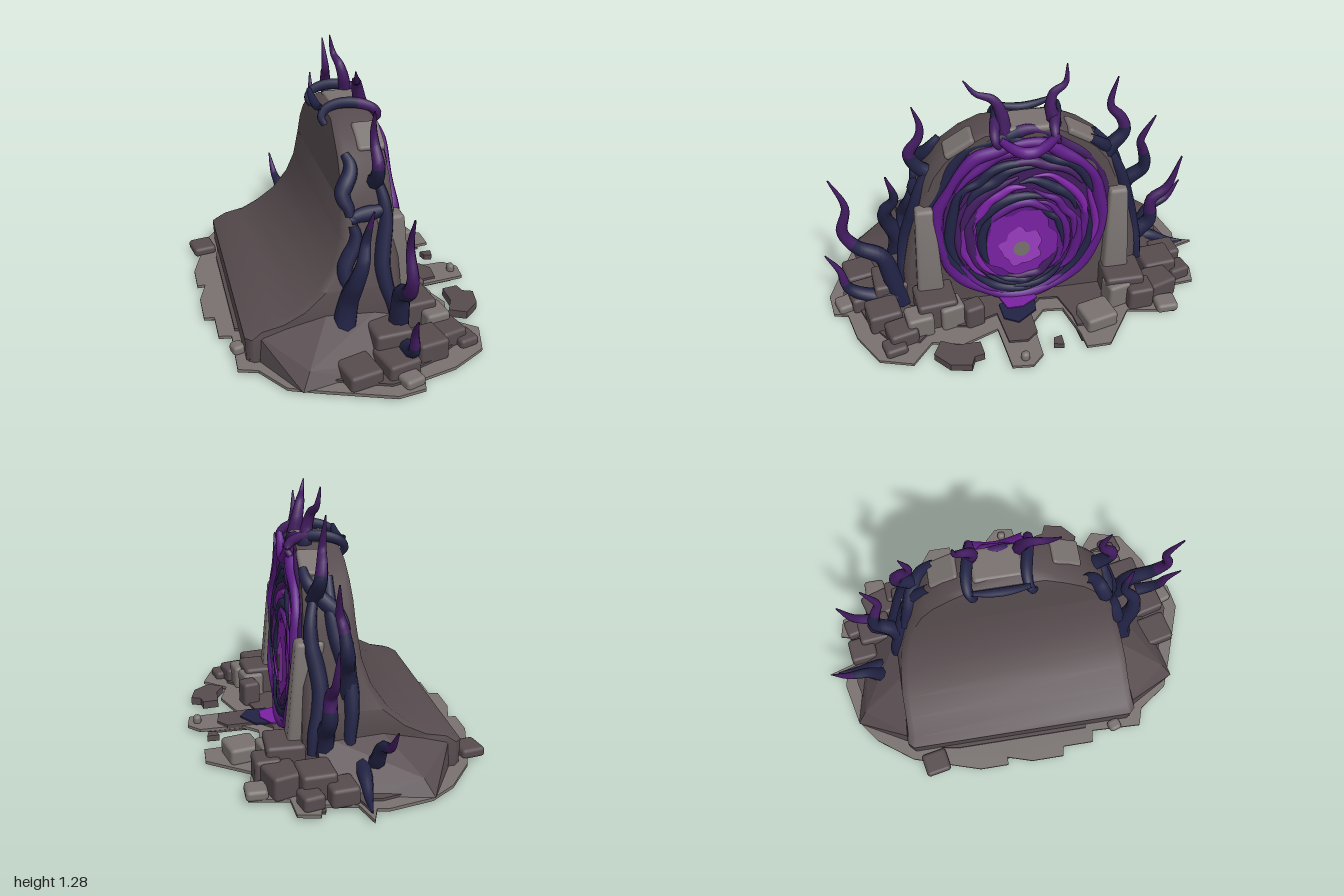
import * as THREE from 'three';
import { toCreasedNormals } from 'three/addons/utils/BufferGeometryUtils.js';
import { RoundedBoxGeometry } from 'three/addons/geometries/RoundedBoxGeometry.js';
import { ConvexGeometry } from 'three/addons/geometries/ConvexGeometry.js';

const material = (name, color, side = THREE.FrontSide) => {
  const m = new THREE.MeshStandardMaterial({ color, side });
  m.name = name;
  return m;
};

export function createModel() {
  const stone = material('dark stone', 0x564b4e);
  const pale = material('pale stone', 0x78716f);
  const navy = material('navy vine', 0x222345, THREE.DoubleSide);
  const plum = material('plum vine', 0x421c60, THREE.DoubleSide);
  const violet = material('violet', 0x5c1a84);
  const bright = material('bright violet', 0x7a22a2);
  const glow = material('glow', 0x9a3cc0);
  const V = (x, y, z) => new THREE.Vector3(x, y, z);
  const lerp = THREE.MathUtils.lerp;
  const steps = (n, f) => Array.from({ length: n }, (_, i) => f(i / (n - 1), i));

  const model = new THREE.Group();
  model.name = 'stonePortal';
  const add = (name, geo, mat, parent = model) => {
    const mesh = new THREE.Mesh(geo, mat);
    mesh.name = name;
    parent.add(mesh);
  };
  const group = (name) => {
    const g = new THREE.Group();
    g.name = name;
    model.add(g);
    return g;
  };
  let seed = 7;
  const rand = () => (seed = (seed * 16807) % 2147483647) / 2147483647;

  // Flat slab from an outline in x,z
  const slab = (name, pts, top, depth, mat) => {
    const geo = new THREE.ExtrudeGeometry(
      new THREE.Shape(pts.map(([x, z]) => new THREE.Vector2(x, z))), { depth, bevelEnabled: false });
    add(name, geo.rotateX(Math.PI / 2).translate(0, top, 0), mat);
  };

  // Tube whose radius follows a profile; the second material starts at split
  const vine = (name, pts, radius, mats, split, parent, profile, closed = false) => {
    const curve = new THREE.CatmullRomCurve3(pts, closed);
    const n = pts.length * 5, sides = 8;
    const geo = new THREE.TubeGeometry(curve, n, 1, sides, closed);
    const p = geo.attributes.position, v = V();
    for (let j = 0; j <= n; j++) {
      const c = curve.getPointAt(j / n);
      const r = radius * profile(j / n);
      for (let i = 0; i <= sides; i++) {
        const k = j * (sides + 1) + i;
        v.fromBufferAttribute(p, k).sub(c).multiplyScalar(r).add(c);
        p.setXYZ(k, v.x, v.y, v.z);
      }
    }
    const cut = Math.round(n * split) * sides * 6;
    geo.addGroup(0, cut, 0);
    geo.addGroup(cut, n * sides * 6 - cut, 1);
    add(name, geo, mats, parent);
  };

  // Ragged ground plate and the darker earth on it
  const outline = [
    [-.33, -.87], [-.12, -.92], [-.07, -.91], [-.04, -1], [.0, -.87], [.15, -.84], [.17, -.92], [.27, -.9], [.28, -.77],
    [.46, -.74], [.42, -.5], [.62, -.36], [.62, -.24], [.53, -.23], [.35, -.18], [.34, -.08], [.42, -.01], [.63, -.02],
    [.69, .04], [.68, .14], [.43, .17], [.5, .35], [.46, .5], [.58, .6], [.53, .76], [.36, .86], [.2, .9], [.18, .97],
    [.05, .99], [-.25, .88], [-.4, .82], [-.5, .67], [-.59, .64], [-.58, .38], [-.64, .37], [-.64, .21], [-.69, .2],
    [-.69, .03], [-.65, -.1], [-.69, -.1], [-.69, -.25], [-.65, -.38], [-.58, -.6], [-.45, -.78]];
  slab('groundPlate', outline, .03, .015, pale);
  slab('groundUnderside', outline.map(([x, z]) => [x * .93 - .015, z * .95]), .015, .012, stone);
  slab('earth', outline.map(([x, z]) => [Math.max(x * (x > .3 ? .78 : .9), -.56), z * .93]), .042, .02, stone);
  slab('looseSlab', [[.52, .27], [.6, .26], [.61, .31], [.66, .33], [.64, .43], [.56, .5], [.48, .46], [.52, .38]], .055, .04, stone);
  slab('looseChip', [[.54, -.13], [.6, -.13], [.59, -.08], [.55, -.09]], .045, .03, stone);

  // Arch body sweeping back into a ramp: rows of height, back x, half width
  const rows = [[.02, -.54, .61], [.15, -.545, .61], [.18, -.5, .6], [.2, -.4, .6], [.25, -.3, .6], [.33, -.2, .585],
    [.44, -.125, .56], [.55, -.088, .53], [.7, -.07, .49], [.8, -.065, .45], [.88, -.06, .39], [.95, -.055, .3],
    [1, -.045, .2], [1.02, -.01, .12]];
  const halfWidth = (y) => {
    const i = Math.max(1, rows.findIndex((r) => r[0] >= y));
    const [a, b] = [rows[i - 1], rows[i]];
    return lerp(a[2], b[2], (y - a[0]) / (b[0] - a[0]));
  };
  const pos = [], idx = [];
  rows.forEach(([y, xb, w], r) => {
    const xf = .205 - .05 * y - (r === rows.length - 1 ? .03 : 0), b = .03;
    [[xf, w - b], [xf, b - w], [xf - b, -w], [xb + b, -w], [xb, b - w], [xb, w - b], [xb + b, w], [xf - b, w]]
      .forEach(([x, z]) => pos.push(x, y, z));
    for (let i = 0; r && i < 8; i++) {
      const a = (r - 1) * 8 + i, c = (r - 1) * 8 + (i + 1) % 8;
      idx.push(a, c, c + 8, a, c + 8, a + 8);
    }
  });
  const last = (rows.length - 1) * 8;
  for (let i = 1; i < 7; i++) idx.push(last, last + i, last + i + 1);
  const body = new THREE.BufferGeometry();
  body.setAttribute('position', new THREE.Float32BufferAttribute(pos, 3));
  body.setIndex(idx);
  add('archAndRamp', toCreasedNormals(body, .8), stone);

  // Sloping earth banks, tapered pillars and pale edge stones on both sides
  for (const s of [1, -1]) {
    const bank = [[-.5, .03, .58], [-.49, .16, .58], [-.34, .03, .87], [-.3, .1, .82], [-.1, .03, .82], [-.12, .1, .74],
      [.15, .03, .76], [.14, .1, .68], [-.15, .24, .56], [.12, .22, .56]];
    add('earthBank', new ConvexGeometry(bank.map(([x, y, z]) => V(x, y, z * s))), stone);
    const pillar = new RoundedBoxGeometry(.13, .62, .13, 2, .02);
    const p = pillar.attributes.position;
    for (let i = 0; i < p.count; i++) {
      const t = (p.getY(i) + .31) / .62;
      p.setX(i, p.getX(i) - t * t * .06);
      p.setZ(i, p.getZ(i) * (1.1 - .4 * t * t));
    }
    add('pillar', toCreasedNormals(pillar.translate(.205, .335, .475 * s), .6), pale);
    add('edgeStone', new RoundedBoxGeometry(.13, .035, .16, 2, .015).rotateX(s * .55).translate(.1, .945, .29 * s), pale);
  }
  add('capstone', new RoundedBoxGeometry(.17, .05, .24, 2, .02).translate(.07, 1.0, -.04), pale);

  // Fallen blocks (x, z, width), lower the farther they lie from the arch
  const rubble = (name, mat, blocks) => {
    const parent = group(name);
    for (const [x, z, w] of blocks) {
      const h = Math.max(.05, Math.min(.19, .3 - .48 * Math.abs(x)) - Math.max(0, Math.abs(z) - .6) * .5);
      add('block', new RoundedBoxGeometry(w, h, w * 1.1, 2, .018).rotateY(rand() * .35).translate(x, .02 + h / 2, z), mat, parent);
    }
  };
  rubble('darkRubble', stone, [[.27, -.5, .18], [.3, -.68, .15], [.16, -.72, .16], [.36, -.57, .12], [.2, -.83, .1],
    [-.62, -.48, .12], [.28, .46, .18], [.47, .68, .1], [.4, .64, .13], [.27, .72, .15], [.1, .8, .16], [-.08, .82, .16],
    [.35, .28, .09], [.1, .66, .18], [.06, -.8, .13]]);
  rubble('paleRubble', pale, [[.45, -.33, .15], [.33, -.46, .11], [.42, -.7, .1], [.33, .39, .11], [.36, .55, .12],
    [.13, .9, .1], [-.57, .5, .06], [.64, .07, .04]]);

  // Portal: t runs from the glowing heart (0) to the rim (1)
  const portal = group('portal');
  const lean = (y) => .232 - .05 * y;
  const at = (t, a, off = 0) => {
    const y = .35 + .15 * t * t + Math.sin(a) * .45 * t;
    return V(lean(y) + off, y, .01 + Math.cos(a) * .41 * t);
  };
  const disc = (name, t, wave, off, mat) => {
    const shape = new THREE.Shape(steps(60, (_, i) => {
      const a = i / 60 * Math.PI * 2;
      const p = at(t * (1 + wave * Math.sin(5 * a + t * 20) + wave * .6 * Math.sin(9 * a)), Math.PI - a);
      return new THREE.Vector2(-p.z, p.y);
    }));
    const geo = new THREE.ShapeGeometry(shape).rotateY(Math.PI / 2);
    const p = geo.attributes.position;
    for (let i = 0; i < p.count; i++) p.setX(i, lean(p.getY(i)) + off);
    add(name, geo, mat, portal);
  };
  disc('portalBack', 1, 0, -.018, plum);
  disc('outerGlow', .58, .06, -.012, violet);
  disc('middleGlow', .44, .07, -.006, bright);
  disc('innerGlow', .25, .1, 0, glow);
  disc('heart', .1, 0, .005, pale);

  // Broken, wavy spiral strands around the heart
  const strandMats = [violet, navy, plum, navy, violet, navy, bright];
  for (let ring = 0; ring < 7; ring++) {
    const count = ring > 2 ? 5 : 4, t = .47 + ring * .074;
    for (let k = 0; k < count; k++) {
      const start = (k + rand() * .6) / count * Math.PI * 2, len = (1 + rand() * .4) * 5.6 / count;
      const pts = steps(7, (u) => at(t + .04 * u + (rand() - .5) * .045, start + len * u, -.016));
      const m = strandMats[(ring * 3 + k) % 7];
      vine('swirlStrand', pts, .021 + rand() * .009, [m, m], .5, portal, (u) => .2 + .8 * Math.sin(Math.PI * u));
    }
  }
  const rim = steps(24, (_, i) => at(1 + .015 * Math.sin(i * 2.1), i / 24 * Math.PI * 2, -.012));
  vine('rim', rim, .028, [violet, violet], .5, portal, (u) => 1 + .2 * Math.sin(u * Math.PI * 14), true);
  const outerRim = steps(16, (u, i) => at(1.06 + .02 * Math.sin(i * 1.7), -.1 + u * 3.35, -.045));
  vine('outerRim', outerRim, .03, [navy, plum], .5, portal, (u) => .9 + .2 * Math.sin(u * 30));

  // Glow spilled on the ground
  slab('spilledGlow', [[.19, -.04], [.27, -.06], [.32, .02], [.32, .1], [.24, .13], [.19, .12]], .055, .009, bright);
  slab('spilledShadow', [[.25, -.05], [.35, -.04], [.42, .06], [.38, .13], [.28, .14]], .05, .009, navy);

  // Tentacles: radius, colour split, foot x, tip x, then z,y points from foot to tip
  const tentacles = (name, list) => {
    const parent = group(name);
    for (const [r, split, x0, x1, ...path] of list) {
      const pts = path.map(([z, y], i) => V(lerp(x0, x1, i / (path.length - 1)), y, z));
      vine('tentacle', pts, r, [navy, plum], split, parent, (u) => 1 + .35 * (1 - u) ** 3 - .9 * u ** 2.2);
    }
  };
  tentacles('crownTentacles', [
    [.032, .3, .13, .05, [-.1, .93], [-.16, 1], [-.145, 1.09], [-.16, 1.15], [-.22, 1.19], [-.23, 1.28]],
    [.032, .2, .15, .05, [0, .93], [.07, .99], [.085, 1.08], [.12, 1.15], [.2, 1.18], [.25, 1.24]],
    [.034, .45, .12, .07, [-.38, .74], [-.44, .84], [-.51, .92], [-.49, .99], [-.44, 1.05], [-.47, 1.2]],
    [.032, .4, .09, .07, [.4, .76], [.49, .83], [.52, .9], [.47, .98], [.46, 1.04], [.49, 1.14]],
  ]);
  tentacles('leftTentacles', [
    [.042, .55, .16, .12, [.62, .05], [.66, .22], [.7, .35], [.81, .42], [.87, .52], [.84, .66], [.9, .82]],
    [.045, .85, -.1, .03, [.62, .12], [.61, .28], [.66, .42], [.66, .5], [.61, .58], [.64, .74]],
    [.034, .6, .17, .13, [.64, .1], [.77, .11], [.88, .17], [.91, .28], [.97, .38]],
  ]);
  tentacles('rightTentacles', [
    [.036, .6, -.02, .05, [-.54, .4], [-.58, .54], [-.66, .62], [-.64, .74], [-.62, .8], [-.68, .95]],
    [.04, .5, .1, .08, [-.57, .06], [-.61, .25], [-.69, .34], [-.69, .46], [-.77, .53], [-.83, .71]],
    [.036, .7, -.1, -.15, [-.58, .08], [-.7, .13], [-.77, .24], [-.86, .28], [-.93, .38]],
    [.036, 1, -.06, -.04, [-.6, .12], [-.75, .1], [-.86, .05], [-.95, .035]],
  ]);

  // Vines hooped over the crown, tied together along its back and dipping in front
  const clinging = group('clingingVines');
  const even = (u) => .55 + .45 * Math.sin(Math.PI * u);
  for (const z of [.11, -.17]) {
    const hoop = steps(9, (u) => V(.06 + .135 * Math.cos(Math.PI * (1.3 * u - .15)),
      .98 + .065 * Math.sin(Math.PI * (1.3 * u - .15)), z + .02 * Math.sin(7 * u)));
    vine('crownHoop', hoop, .028, [plum, navy], .4, clinging, even);
  }
  vine('crownTie', steps(5, (u) => V(-.07, 1.03 - .03 * Math.sin(Math.PI * u), .1 - .27 * u)), .022, [navy, navy], .5, clinging, even);
  vine('crownLoop', steps(6, (u) => V(.195, 1 - .09 * Math.sin(Math.PI * u), .11 - .28 * u)), .03, [violet, violet], .5, clinging, even);

  // Vines down the flanks: side, top x, top y, bottom x, bottom y
  for (const [s, x0, y0, x1, y1] of [[1, -.03, .9, -.06, .66], [1, .12, .68, -.06, .64], [1, -.03, .62, -.08, .3],
    [1, .1, .8, .13, .15], [-1, .04, .9, -.04, .1], [-1, .12, .82, .14, .15], [-1, .15, .93, -.05, .62]]) {
    const pts = steps(8, (u) => {
      const y = lerp(y0, y1, u);
      return V(lerp(x0, x1, u) + .02 * Math.sin(8 * u), y, s * (halfWidth(y) + .004));
    });
    vine('flankVine', pts, .038, [navy, navy], .5, clinging, even);
  }

  return model;
}
